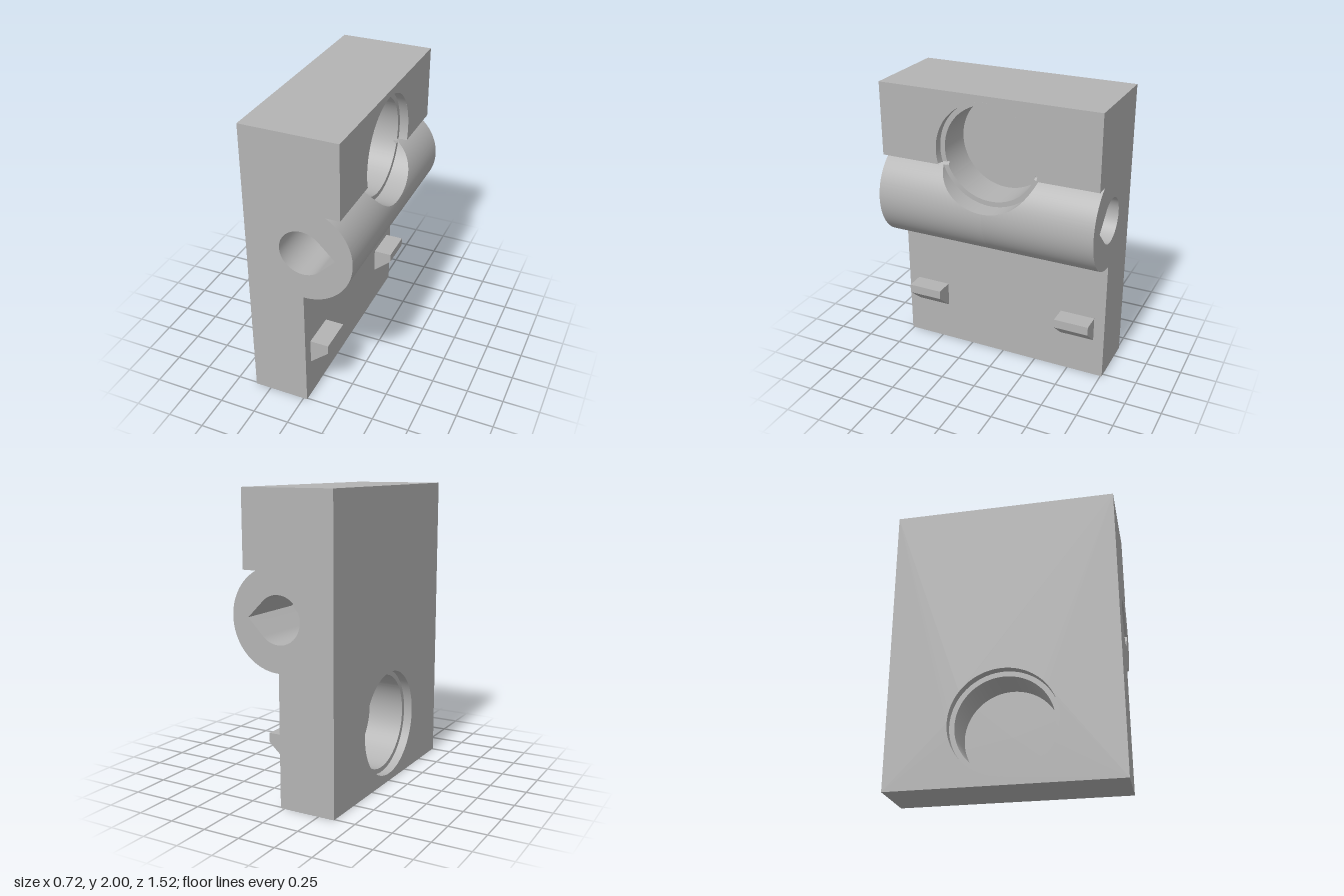
import * as THREE from 'three';
import { toCreasedNormals } from 'three/addons/utils/BufferGeometryUtils.js';

// Block outline (x, y) and half length (z)
const BACK = -0.36, LOW = 0.027, HIGH = 0.28, HALF = 0.76, SHELF = 1.5;
// Round barrel along z
const CX = LOW, CY = 1.207, R = 0.333;
// Stepped round pockets along x
const POCKET_Y = 1.6, LOWER_Y = 0.41, WIDE = 0.358, NARROW = 0.324;
const LEDGE = 0.06, FLOOR = -0.04, LEDGE_X = HIGH - LEDGE;
// Teardrop holes along z
const HOLE_R = 0.155, HOLE_DEPTH = 0.5;

export function createModel() {
  const model = new THREE.Group();
  const grey = new THREE.MeshStandardMaterial({ color: 0xb4b4b4, side: THREE.DoubleSide });
  grey.name = 'grey';

  const add = (name, geometry) => {
    const mesh = new THREE.Mesh(geometry, grey);
    mesh.name = name;
    model.add(mesh);
    return mesh;
  };

  // Strip of quads between two rows of points
  const strip = (a, b) => {
    const pos = [];
    for (let i = 0; i + 1 < a.length; i++) {
      for (const p of [a[i], a[i + 1], b[i + 1], a[i], b[i + 1], b[i]]) pos.push(...p);
    }
    const g = new THREE.BufferGeometry();
    g.setAttribute('position', new THREE.Float32BufferAttribute(pos, 3));
    return toCreasedNormals(g, 0.6);
  };
  const along = (pts, z) => pts.map(([x, y]) => [x, y, z]);

  // Barrel outline, sampled between the places where the pocket edge changes
  const thetaPocket = Math.asin((POCKET_Y - WIDE - CY) / R);
  const thetaLedge = Math.acos((LEDGE_X - CX) / R);
  const thetaShelf = Math.asin((SHELF - CY) / R);
  const cut = (y, radius) => Math.sqrt(Math.max(0, radius ** 2 - (y - POCKET_Y) ** 2));
  const barrel = []; // x, y, half width of the pocket there
  const arc = (from, to, n, radius, power) => {
    for (let i = 0; i <= n; i++) {
      const t = from + (to - from) * (i / n) ** power;
      const y = CY + R * Math.sin(t);
      barrel.push([CX + R * Math.cos(t), y, cut(y, radius)]);
    }
  };
  arc(-Math.PI / 2, thetaPocket, 32, WIDE, 1);
  arc(thetaPocket, thetaLedge, 32, WIDE, 2);
  arc(thetaLedge, thetaShelf, 4, NARROW, 1);
  const notch = barrel[barrel.length - 1];

  // Barrel surface and the undercut shelf above it, in two halves
  const outline = [...barrel,
    [LEDGE_X, SHELF, cut(SHELF, NARROW)],
    [LEDGE_X, SHELF, cut(SHELF, WIDE)],
    [HIGH, SHELF, cut(SHELF, WIDE)]];
  const cutRow = (s) => outline.map(([x, y, w]) => [x, y, s * w]);
  add('barrelFrontHalf', strip(cutRow(1), along(outline, HALF)));
  add('barrelBackHalf', strip(along(outline, -HALF), cutRow(-1)));

  // Plain sides of the block
  const foot = [[BACK, 0], [LOW, 0], [LOW, CY - R]];
  add('baseAndLowerFace', strip(along(foot, -HALF), along(foot, HALF)));
  const top = [[HIGH, 2], [BACK, 2]];
  add('topFace', strip(along(top, -HALF), along(top, HALF)));

  // Upper face with the pocket bitten out of it
  const bite = Math.asin((POCKET_Y - SHELF) / WIDE);
  const upper = new THREE.Shape();
  upper.moveTo(-HALF, SHELF);
  upper.lineTo(-cut(SHELF, WIDE), SHELF);
  upper.absarc(0, POCKET_Y, WIDE, Math.PI + bite, -bite, true);
  upper.lineTo(HALF, SHELF);
  upper.lineTo(HALF, 2);
  upper.lineTo(-HALF, 2);
  add('upperFace', new THREE.ShapeGeometry(upper, 96).rotateY(Math.PI / 2).translate(HIGH, 0, 0));

  // Back plate with the lower pocket opening
  const plate = new THREE.Shape(
    [[-HALF, 0], [HALF, 0], [HALF, 2], [-HALF, 2]].map((p) => new THREE.Vector2(...p)));
  plate.holes.push(new THREE.Path().absarc(0, LOWER_Y, WIDE, 0, Math.PI * 2, true));
  add('backPlate', new THREE.ShapeGeometry(plate, 96).rotateY(-Math.PI / 2).translate(BACK, 0, 0));

  // Rings of points around a pocket axis, x given by a rule of height
  const ring = (cy, radius, xAt) => Array.from({ length: 193 }, (_, i) => {
    const a = (i / 192) * Math.PI * 2, y = cy + radius * Math.cos(a);
    return [xAt(y), y, radius * Math.sin(a)];
  });
  const barrelX = (y) => CX + Math.sqrt(Math.max(0, R * R - (y - CY) ** 2));

  // Upper pocket: rim, ledge, bore and floor
  const rimX = (y) => (y >= SHELF ? HIGH : Math.max(LEDGE_X, barrelX(y)));
  const boreX = (y) => (y >= SHELF ? LEDGE_X : Math.min(LEDGE_X, barrelX(y)));
  add('upperPocketRim', strip(ring(POCKET_Y, WIDE, rimX), ring(POCKET_Y, WIDE, () => LEDGE_X)));
  add('upperPocketBore', strip(ring(POCKET_Y, NARROW, boreX), ring(POCKET_Y, NARROW, () => FLOOR)));
  const ledgeArc = (start, length) => new THREE.RingGeometry(NARROW, WIDE, 96, 1, start, length)
    .rotateY(Math.PI / 2).translate(LEDGE_X, POCKET_Y, 0);
  const gap = Math.asin((POCKET_Y - CY - R * Math.sin(thetaLedge)) / (WIDE + NARROW) * 2);
  add('upperPocketLedge', ledgeArc(-bite, Math.PI + 2 * bite));
  add('upperPocketLowerLedge', ledgeArc(Math.PI + gap, Math.PI - 2 * gap));
  add('upperPocketFloor', new THREE.CircleGeometry(NARROW, 96)
    .rotateY(Math.PI / 2).translate(FLOOR, POCKET_Y, 0));

  // Lower pocket, opening at the back plate
  const level = (radius, x) => ring(LOWER_Y, radius, () => x);
  add('lowerPocketRim', strip(level(WIDE, BACK + LEDGE), level(WIDE, BACK)));
  add('lowerPocketBore', strip(level(NARROW, FLOOR), level(NARROW, BACK + LEDGE)));
  add('lowerPocketLedge', new THREE.RingGeometry(NARROW, WIDE, 96)
    .rotateY(-Math.PI / 2).translate(BACK + LEDGE, LOWER_Y, 0));
  add('lowerPocketFloor', new THREE.CircleGeometry(NARROW, 96)
    .rotateY(-Math.PI / 2).translate(FLOOR, LOWER_Y, 0));

  // Teardrop outline
  const drop = [[CX + HOLE_R * Math.SQRT2, CY]];
  for (let i = 0; i <= 48; i++) {
    const a = Math.PI * (0.25 + 1.5 * i / 48);
    drop.push([CX + HOLE_R * Math.cos(a), CY + HOLE_R * Math.sin(a)]);
  }
  const vectors = (pts) => pts.map(([x, y]) => new THREE.Vector2(x, y));
  const dropLoop = [...drop, drop[0]];

  // End faces with their blind teardrop holes
  const end = new THREE.Shape(vectors([
    [BACK, 0], [LOW, 0], ...barrel, [notch[0], SHELF], [HIGH, SHELF], [HIGH, 2], [BACK, 2],
  ].filter(([x, y], i, all) => !i || Math.hypot(x - all[i - 1][0], y - all[i - 1][1]) > 1e-5)));
  end.holes.push(new THREE.Path(vectors(drop)));
  const inner = HALF - HOLE_DEPTH;
  const turn = (g) => { // turn a flat face to look along -z
    const idx = g.index.array;
    for (let i = 0; i < idx.length; i += 3) [idx[i], idx[i + 1]] = [idx[i + 1], idx[i]];
    g.computeVertexNormals();
    return g;
  };
  const dropShape = new THREE.Shape(vectors(drop));
  add('frontEnd', new THREE.ShapeGeometry(end).translate(0, 0, HALF));
  add('backEnd', turn(new THREE.ShapeGeometry(end)).translate(0, 0, -HALF));
  add('frontHole', strip(along(dropLoop, HALF), along(dropLoop, inner)));
  add('backHole', strip(along(dropLoop, -inner), along(dropLoop, -HALF)));
  add('frontHoleFloor', new THREE.ShapeGeometry(dropShape).translate(0, 0, inner));
  add('backHoleFloor', turn(new THREE.ShapeGeometry(dropShape)).translate(0, 0, -inner));

  // Two wedge-shaped catches on the lower face
  const wedge = new THREE.Shape(vectors(
    [[LOW, 0.28], [0.155, 0.393], [0.155, 0.455], [LOW, 0.455]]));
  for (const z of [0.44, -0.684]) {
    add('catch', new THREE.ExtrudeGeometry(wedge, { depth: 0.244, bevelEnabled: false }))
      .position.z = z;
  }
  return model;
}
